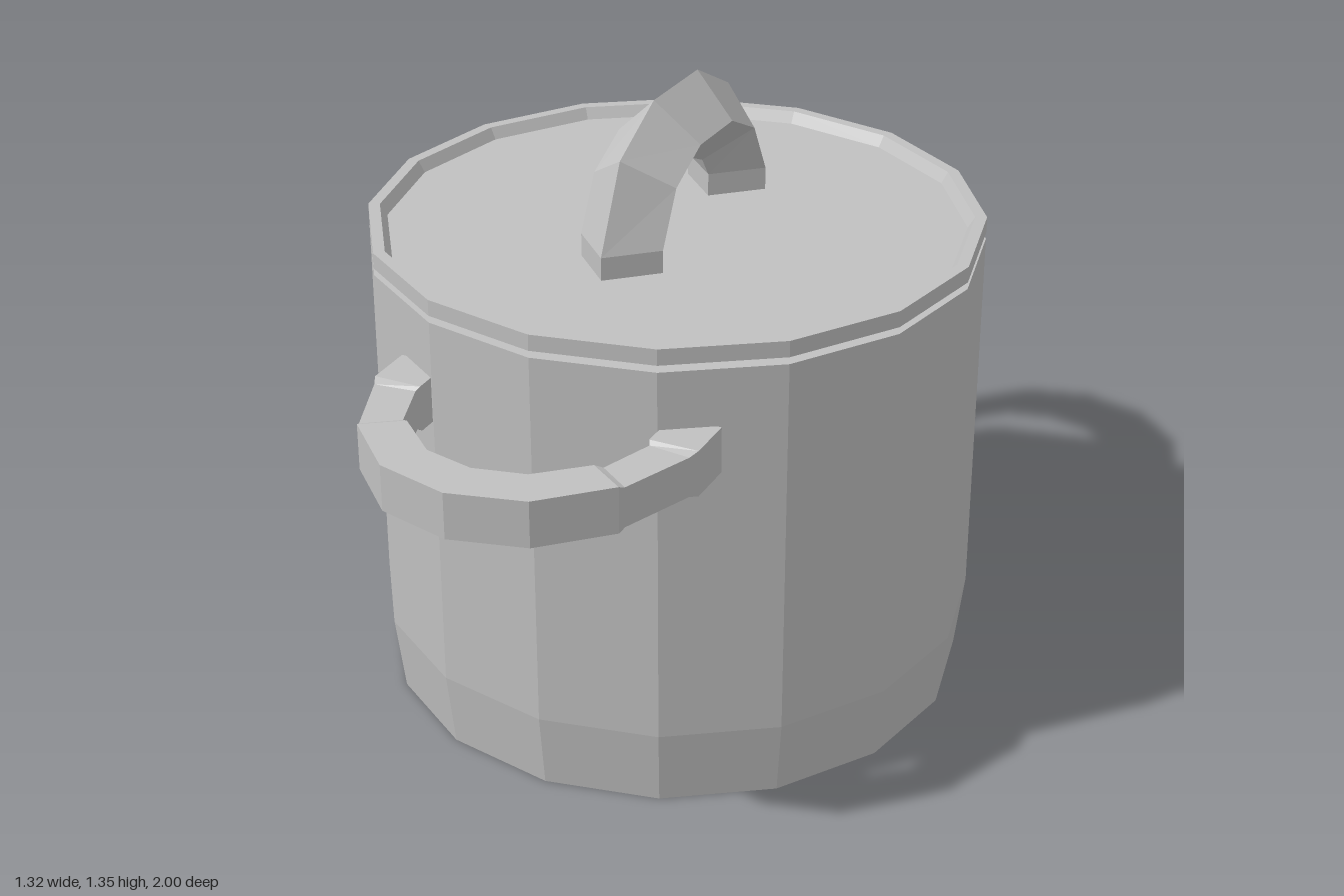
import * as THREE from 'three';

const steel = new THREE.MeshStandardMaterial({ color: 0xc0c0c0 });
steel.name = 'steel';
steel.flatShading = true;

function addMesh(group, name, geometry) {
  const mesh = new THREE.Mesh(geometry, steel);
  mesh.name = name;
  group.add(mesh);
  return mesh;
}

// Sixteen-sided body turned from a [radius, height] profile
function turned(profile) {
  return new THREE.LatheGeometry(profile.map(([r, y]) => new THREE.Vector2(r, y)), 16);
}

// Skin a row of four-cornered sections and cap both ends, with hard edges
function sweep(sections) {
  const positions = [];
  const quad = (a, b, c, d) => positions.push(...a, ...b, ...c, ...a, ...c, ...d);
  for (let i = 0; i < sections.length - 1; i++) {
    const s = sections[i], t = sections[i + 1];
    for (let k = 0; k < 4; k++) quad(s[k], s[(k + 1) % 4], t[(k + 1) % 4], t[k]);
  }
  const first = sections[0], last = sections[sections.length - 1];
  quad(first[0], first[3], first[2], first[1]);
  quad(...last);
  const geometry = new THREE.BufferGeometry();
  geometry.setAttribute('position', new THREE.Float32BufferAttribute(positions, 3));
  geometry.computeVertexNormals();
  return geometry;
}

// Side grip: rectangular section, with a slightly thinner link on each side
function sideHandleGeometry() {
  // outer x, outer z, inner x, inner z, half height
  const half = [
    [0.36, 0.545, 0.255, 0.545, 0.05],
    [0.36, 0.65, 0.255, 0.65, 0.05],
    [0.35, 0.67, 0.26, 0.66, 0.043],
    [0.29, 0.825, 0.22, 0.775, 0.043],
    [0.285, 0.84, 0.205, 0.785, 0.05],
    [0.16, 0.96, 0.11, 0.87, 0.05],
  ];
  const mirrored = half.map(([ox, oz, ix, iz, h]) => [-ox, oz, -ix, iz, h]).reverse();
  const path = [...half, [0, 1, 0, 0.895, 0.05], ...mirrored];
  return sweep(path.map(([ox, oz, ix, iz, h]) => [
    [ox, 0.84 + h, oz], [ix, 0.84 + h, iz], [ix, 0.84 - h, iz], [ox, 0.84 - h, oz],
  ]));
}

// Lid grip: arch with a diamond section, ridge outward
function lidHandleGeometry() {
  // z and y of the outer ridge, the side corners and the inner ridge
  const half = [
    [0.335, 1.035, 0.245, 1.035, 0.155, 1.035],
    [0.335, 1.09, 0.245, 1.09, 0.155, 1.09],
    [0.25, 1.27, 0.185, 1.205, 0.125, 1.135],
    [0.1, 1.35, 0.075, 1.26, 0.05, 1.17],
  ];
  const mirrored = half.map(([a, b, c, d, e, f]) => [-a, b, -c, d, -e, f]).reverse();
  return sweep([...half, ...mirrored].map(([oz, oy, mz, my, iz, iy]) => [
    [0, oy, oz], [0.095, my, mz], [0, iy, iz], [-0.095, my, mz],
  ]));
}

export function createModel() {
  const model = new THREE.Group();
  model.name = 'cookingPot';

  // Hollow pot with a tapered foot
  addMesh(model, 'potBody', turned([
    [0, 0], [0.64, 0], [0.66, 0.17], [0.66, 1.015], [0.61, 1.015], [0.61, 0.03], [0, 0.03],
  ]));

  // Lid with a neck below and a shallow recess on top
  addMesh(model, 'lid', turned([
    [0, 0.98], [0.605, 0.98], [0.605, 1.03], [0.66, 1.03], [0.66, 1.065],
    [0.635, 1.065], [0.62, 1.04], [0, 1.04],
  ]));

  addMesh(model, 'lidHandle', lidHandleGeometry()).rotation.y = -0.023;

  // Front and back grips
  const grip = sideHandleGeometry();
  addMesh(model, 'frontHandle', grip);
  addMesh(model, 'backHandle', grip).rotation.y = Math.PI;

  return model;
}
